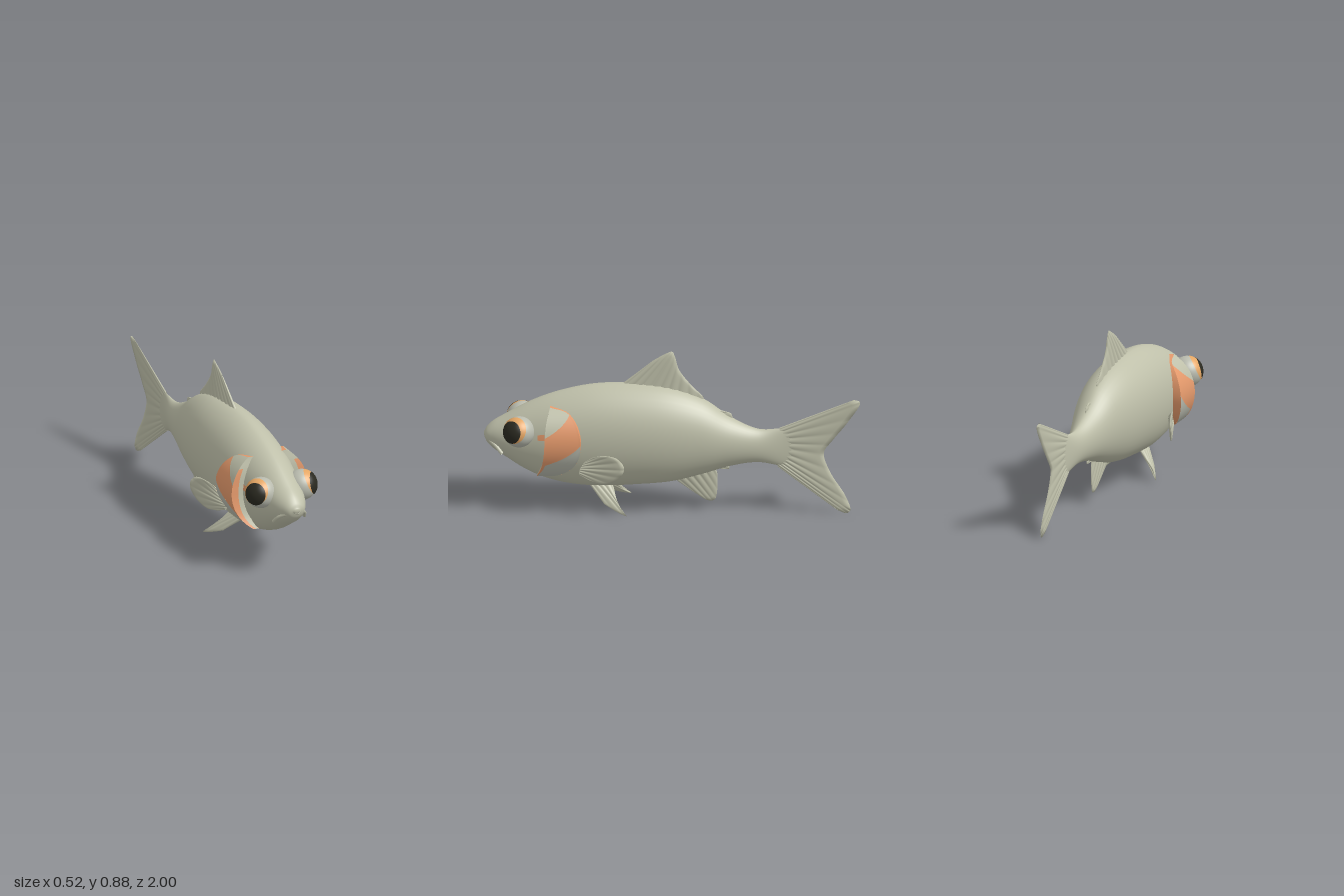
import * as THREE from 'three';
import { mergeVertices } from 'three/addons/utils/BufferGeometryUtils.js';

const paint = (name, color) => {
  const m = new THREE.MeshStandardMaterial({ color, side: THREE.DoubleSide });
  m.name = name;
  return m;
};

const curve = (points) => new THREE.CatmullRomCurve3(points.map((p) => new THREE.Vector3(...p)));
const flat = (points) => points.map(([z, y]) => [0, y, z]);

// Smooth surface over a (u, v) grid; f returns a Vector3
function grid(nu, nv, f) {
  const pos = [], index = [];
  for (let i = 0; i <= nu; i++) {
    for (let j = 0; j <= nv; j++) {
      pos.push(...f(i / nu, j / nv).toArray());
      if (i < nu && j < nv) {
        const a = i * (nv + 1) + j, b = a + nv + 1;
        index.push(a, b, a + 1, b, b + 1, a + 1);
      }
    }
  }
  const geo = new THREE.BufferGeometry();
  geo.setAttribute('position', new THREE.Float32BufferAttribute(pos, 3));
  geo.setIndex(index);
  const merged = mergeVertices(geo, 1e-5);
  merged.computeVertexNormals();
  return merged;
}

// Closed fin between a root line and a tip line, ridged by rays, thinning outward
function finGeometry(root, tip, normal, thick, rays) {
  const a = curve(root), b = curve(tip), n = new THREE.Vector3(...normal).normalize();
  return grid(rays * 16, 10, (U, v) => {
    const side = U < 0.5 ? 1 : -1;
    const u = U < 0.5 ? U * 2 : 2 - U * 2;
    const edge = Math.max(0, Math.sin(Math.PI * u)) ** 0.35 * Math.sqrt(1 - v ** 8);
    const ridge = 0.65 + 0.35 * Math.abs(Math.cos(rays * Math.PI * u));
    return a.getPoint(u).lerp(b.getPoint(u), v)
      .addScaledVector(n, side * thick * (1 - 0.6 * v) * edge * ridge);
  });
}

// Body stations: z, top, bottom, half width
const stations = [
  [0.994, 0.418, 0.385, 0.022], [0.982, 0.44, 0.358, 0.046], [0.95, 0.472, 0.325, 0.07],
  [0.89, 0.51, 0.285, 0.098], [0.75, 0.59, 0.2, 0.135], [0.6, 0.65, 0.15, 0.165],
  [0.41, 0.695, 0.13, 0.18], [0.19, 0.705, 0.143, 0.18], [0, 0.685, 0.165, 0.163],
  [-0.165, 0.625, 0.21, 0.13], [-0.315, 0.525, 0.258, 0.088], [-0.46, 0.465, 0.28, 0.048],
  [-0.58, 0.472, 0.26, 0.018], [-0.66, 0.47, 0.25, 0.004],
];
const edges = curve(stations.map(([z, t, b]) => [t, b, z]));
const widths = curve(stations.map(([z, , , w]) => [w, 0, z]));

// Point on the body: u from nose to tail, v around; the back is narrower than the belly
function bodyPoint(u, v) {
  const e = edges.getPoint(u), w = widths.getPoint(u).x, a = v * Math.PI * 2 - Math.PI / 2;
  const c = Math.cos(a), s = Math.sin(a);
  return new THREE.Vector3(
    w * Math.sign(c) * Math.abs(c) ** (s > 0 ? 0.95 + 0.22 * s : 0.95),
    (e.x + e.y) / 2 + (e.x - e.y) / 2 * s, e.z);
}

export function createModel() {
  const skin = paint('skin', 0xbfc0aa);
  const gill = paint('gillOrange', 0xe59a6c);
  const eyeGrey = paint('eyeGrey', 0xb9bbae);
  const iris = paint('irisAmber', 0xe4a664);
  const pupil = paint('pupilBlack', 0x2a2920);

  const fish = new THREE.Group();
  fish.name = 'fish';
  const add = (name, geo, mat, parent = fish) => {
    const m = new THREE.Mesh(geo, mat);
    m.name = name;
    parent.add(m);
    return m;
  };

  add('body', grid(78, 40, bodyPoint), skin);
  add('nose', new THREE.SphereGeometry(1, 24, 16), skin).scale.set(0.024, 0.018, 0.01);
  fish.getObjectByName('nose').position.set(0, 0.402, 0.989);

  // Down-turned mouth
  const lip = curve([[-0.092, 0.32, 0.895], [-0.075, 0.355, 0.928], [-0.043, 0.38, 0.966], [0, 0.386, 0.986],
    [0.043, 0.38, 0.966], [0.075, 0.355, 0.928], [0.092, 0.32, 0.895]]);
  add('upperLip', new THREE.TubeGeometry(lip, 32, 0.01, 8), skin);

  // Fins on the centre line
  const side = [1, 0, 0];
  add('dorsalFin', finGeometry(
    flat([[0.29, 0.68], [0.14, 0.68], [0, 0.66], [-0.165, 0.6]]),
    flat([[0.1, 0.836], [0.04, 0.872], [0, 0.887], [-0.015, 0.86], [-0.035, 0.79], [-0.09, 0.715], [-0.165, 0.64]]),
    side, 0.02, 9), skin);
  add('adiposeFin', finGeometry(
    flat([[-0.18, 0.59], [-0.31, 0.5]]),
    flat([[-0.25, 0.557], [-0.31, 0.55], [-0.325, 0.51]]), side, 0.01, 3), skin);
  add('analFin', finGeometry(
    flat([[0, 0.18], [-0.12, 0.21], [-0.23, 0.24]]),
    flat([[-0.12, 0.095], [-0.19, 0.055], [-0.225, 0.06], [-0.24, 0.12], [-0.24, 0.21]]),
    side, 0.012, 6), skin);
  add('rearLowerFin', finGeometry(
    flat([[-0.19, 0.24], [-0.3, 0.27]]),
    flat([[-0.26, 0.235], [-0.3, 0.235], [-0.305, 0.255]]), side, 0.01, 3), skin);
  add('tailFin', finGeometry(
    flat([[-0.57, 0.475], [-0.56, 0.42], [-0.55, 0.36], [-0.55, 0.31], [-0.56, 0.255]]),
    flat([[-0.965, 0.643], [-0.997, 0.63], [-0.935, 0.52], [-0.85, 0.41], [-0.805, 0.34],
      [-0.84, 0.23], [-0.92, 0.1], [-0.945, 0.02], [-0.925, 0.003], [-0.875, 0.02]]),
    side, 0.013, 12), skin);

  // Gill cover outline: front and rear edges from top to bottom
  const front = curve(flat([[0.64, 0.595], [0.655, 0.52], [0.66, 0.44], [0.665, 0.36], [0.68, 0.28], [0.71, 0.207]]));
  const rear = curve(flat([[0.64, 0.595], [0.54, 0.572], [0.485, 0.5], [0.47, 0.39], [0.51, 0.29], [0.605, 0.22], [0.71, 0.207]]));
  const bulge = (y) => 0.222 * Math.sqrt(1 - ((y - 0.4) / 0.225) ** 2);
  const bandTop = (u) => 0.36 - 0.18 * u, bandEnd = (u) => 0.78 - 0.33 * u;

  for (const s of [1, -1]) {
    const label = s > 0 ? 'left' : 'right';
    const half = new THREE.Group();
    half.name = label + 'Side';
    fish.add(half);
    const flip = (points) => points.map(([x, y, z]) => [s * x, y, z]);

    // Eye: ball with amber and black caps
    const eye = new THREE.Group();
    eye.name = label + 'Eye';
    eye.position.set(s * 0.12, 0.457, 0.803);
    half.add(eye);
    const cap = (name, r, angle, dir, mat) => {
      const m = add(name, new THREE.SphereGeometry(r, 40, 24, 0, Math.PI * 2, 0, angle), mat, eye);
      m.quaternion.setFromUnitVectors(new THREE.Vector3(0, 1, 0),
        new THREE.Vector3(s * dir[0], dir[1], dir[2]).normalize());
    };
    cap('eyeball', 0.083, Math.PI, [0, 1, 0], eyeGrey);
    cap('iris', 0.0845, 1.0, [0.72, 0.38, 0.42], iris);
    cap('pupil', 0.086, 0.77, [0.76, 0.2, 0.55], pupil);

    // Gill cover: painted zones across the plate
    const plate = (lo, hi, u0 = 0, u1 = 1) => grid(14, 14, (k, t) => {
      const u = u0 + (u1 - u0) * k;
      const v = lo(u) + (hi(u) - lo(u)) * t;
      const p = front.getPoint(v).lerp(rear.getPoint(v), u);
      p.x = s * bulge(p.y);
      return p;
    });
    add('gillCoverTop', plate(() => 0, bandTop), skin, half);
    add('gillCoverBand', plate(bandTop, bandEnd), gill, half);
    add('gillCoverFrontStripe', plate(bandEnd, () => 1, 0, 0.12), gill, half);
    add('gillCoverBottom', plate(bandEnd, () => 1, 0.12, 1), eyeGrey, half);

    // Rims closing the gill cover to the body
    const rim = (edge, v0, v1, t0, t1) => grid(28, 2, (k, m) => {
      const v = v0 + (v1 - v0) * k, t = t0 + (t1 - t0) * m;
      const p = edge.getPoint(v);
      p.x = s * bulge(p.y) * (1 - t * (0.25 + 0.15 * Math.sin(Math.PI * v)));
      return p;
    });
    add('gillFrontRimTop', rim(front, 0, 0.15, 0, 1), skin, half);
    add('gillFrontRim', rim(front, 0.15, 1, 0, 0.45), gill, half);
    add('gillFrontRimInner', rim(front, 0.15, 1, 0.45, 1), skin, half);
    add('gillRearRim', rim(rear, 0, 1, 0, 1), gill, half);

    // Small cheek spot lying just on the body
    add('cheekSpot', grid(4, 4, (u, v) => {
      const p = bodyPoint((4.33 + 0.25 * u) / 13, 0.268 + 0.022 * v);
      p.x = s * (p.x + 0.004);
      return p;
    }), gill, half);

    // Paired fins
    add(label + 'PectoralFin', finGeometry(
      flip([[0.165, 0.315, 0.45], [0.165, 0.28, 0.47], [0.165, 0.24, 0.48]]),
      flip([[0.2, 0.355, 0.4], [0.225, 0.372, 0.34], [0.245, 0.365, 0.275], [0.257, 0.325, 0.237],
        [0.257, 0.285, 0.242], [0.24, 0.235, 0.285], [0.215, 0.208, 0.35], [0.19, 0.22, 0.43]]),
      [s * 0.95, 0, 0.3], 0.016, 7), skin, half);
    add(label + 'PelvicFin', finGeometry(
      flip([[0.045, 0.15, 0.44], [0.045, 0.15, 0.38], [0.05, 0.155, 0.31]]),
      flip([[0.12, 0.06, 0.35], [0.16, 0.028, 0.27], [0.178, 0.018, 0.228], [0.168, 0.032, 0.245], [0.13, 0.065, 0.28]]),
      [s * 0.68, 0.73, 0], 0.014, 4), skin, half);
  }
  return fish;
}
